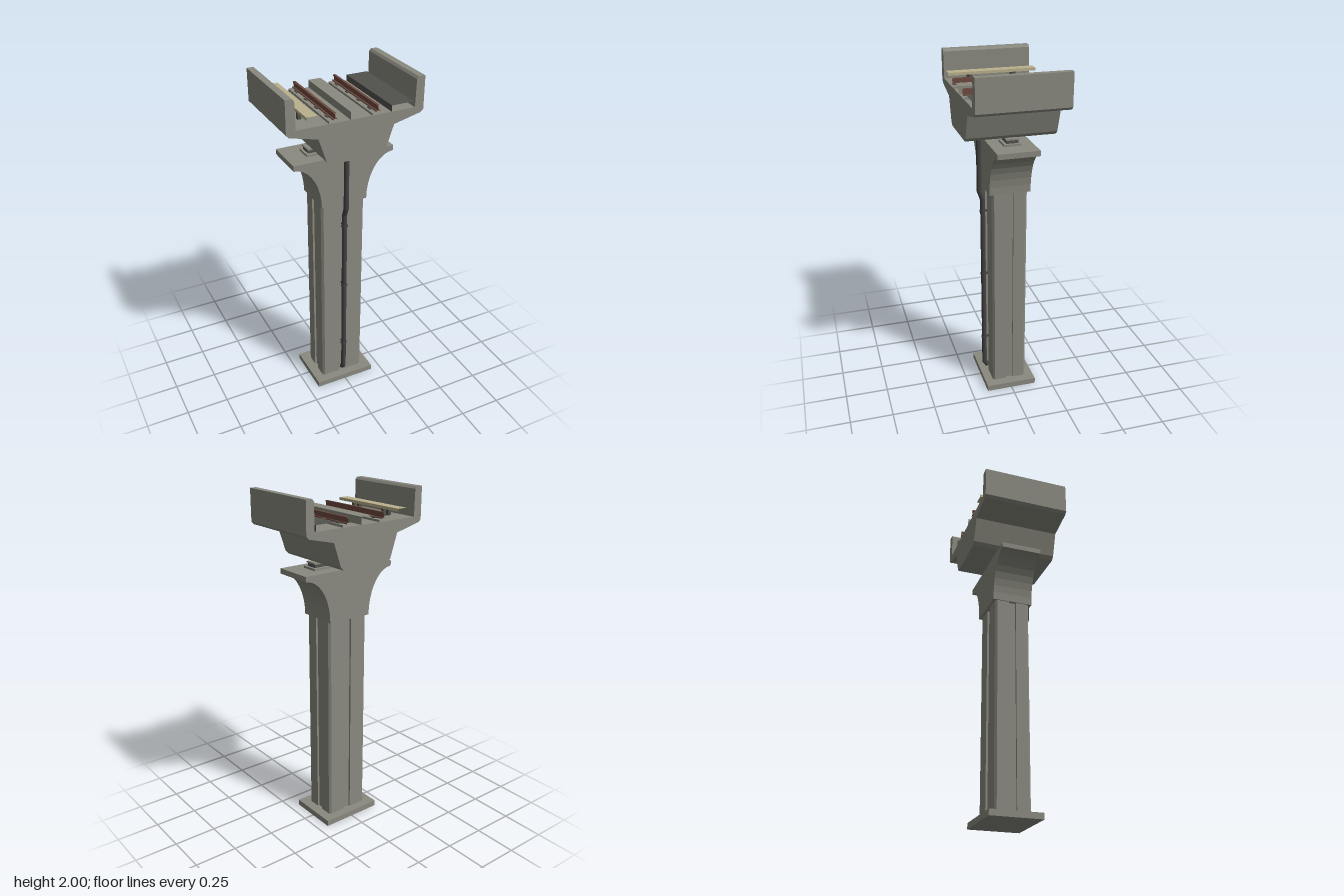
import * as THREE from 'three';

const mat = (name, color) => {
  const m = new THREE.MeshStandardMaterial({ color });
  m.name = name;
  return m;
};

export function createModel() {
  const concrete = mat('concrete', 0x8a8a80);
  const darkGrey = mat('dark grey', 0x51514d);
  const pipeGrey = mat('pipe grey', 0x424242);
  const cream = mat('cream cover', 0xb9b08c);
  const rust = mat('rail brown', 0x6e4a3e);
  const root = new THREE.Group();
  root.name = 'viaductSegment';
  const LEN = 0.51;

  const add = (name, geometry, material, x = 0, y = 0, z = 0) => {
    const mesh = new THREE.Mesh(geometry, material);
    mesh.name = name;
    mesh.position.set(x, y, z);
    root.add(mesh);
    return mesh;
  };
  const box = (name, material, w, y0, y1, d, x = 0, z = 0) =>
    add(name, new THREE.BoxGeometry(w, y1 - y0, d), material, x, (y0 + y1) / 2, z);
  // Strip running the full length with open ends, so segments can be chained
  const strip = (name, material, x0, x1, y0, y1) => {
    const g = new THREE.BoxGeometry(x1 - x0, y1 - y0, LEN);
    g.setIndex(Array.from(g.index.array.slice(0, 24)));
    g.clearGroups();
    return add(name, g, material, (x0 + x1) / 2, (y0 + y1) / 2, 0);
  };
  // Extrude a right-hand half profile mirrored about x = 0, centred on z
  const mirroredExtrude = (half, depth) => {
    const pts = [...half, ...half.map(([x, y]) => [-x, y]).reverse()];
    const shape = new THREE.Shape(pts.map(([x, y]) => new THREE.Vector2(x, y)));
    return new THREE.ExtrudeGeometry(shape, { depth, bevelEnabled: false })
      .translate(0, 0, -depth / 2);
  };

  // Footing
  box('footing', concrete, 0.376, 0, 0.035, 0.304);

  // Column with chamfered corners and a groove in each face
  const X = 0.133, Z = 0.103, c = 0.012, g = 0.022, d = 0.012;
  const column = mirroredExtrude([
    [g, -Z + d], [g, -Z], [X - c, -Z], [X, -Z + c],
    [X, -g], [X - d, -g], [X - d, g], [X, g],
    [X, Z - c], [X - c, Z], [g, Z], [g, Z - d],
  ], 1.245);
  column.rotateX(-Math.PI / 2);
  add('column', column, concrete, 0, 0.035 + 1.245 / 2, 0);

  // Flared column head
  const flare = [];
  for (let i = 0; i <= 9; i++) {
    const a = (i / 9) * Math.PI / 2;
    flare.push([0.138 + 0.162 * (1 - Math.cos(a)), 1.28 + 0.262 * Math.sin(a)]);
  }
  add('columnHead', mirroredExtrude([...flare, [0.3, 1.572]], 0.238), concrete);

  // Bearings
  for (const s of [-1, 1]) {
    box('bearingPlinth', concrete, 0.115, 1.572, 1.584, 0.1, s * 0.133);
    box('bearingPad', darkGrey, 0.085, 1.584, 1.602, 0.066, s * 0.133);
    box('bearingTopPlate', concrete, 0.095, 1.602, 1.611, 0.074, s * 0.133);
  }

  // Trough girder with side walls
  add('girder', mirroredExtrude([
    [0.153, 1.61], [0.172, 1.63], [0.217, 1.765], [0.375, 1.803], [0.39, 1.818],
    [0.39, 2], [0.352, 2], [0.341, 1.987], [0.338, 1.836],
  ], LEN), concrete);

  // Track slabs, centre kerb and walkway
  strip('centreKerb', concrete, -0.037, 0.037, 1.836, 1.878);
  strip('walkway', darkGrey, 0.2, 0.33, 1.836, 1.87);
  for (const s of [-1, 1]) {
    const x = s * 0.122;
    strip('trackSlab', concrete, x - 0.036, x + 0.036, 1.836, 1.848);
    strip('railFoot', rust, x - 0.0125, x + 0.0125, 1.85, 1.856);
    strip('railWeb', rust, x - 0.003, x + 0.003, 1.856, 1.876);
    strip('railHead', rust, x - 0.007, x + 0.007, 1.876, 1.885);
    for (const z of [-0.19, -0.064, 0.064, 0.19]) {
      box('railFastener', darkGrey, 0.046, 1.848, 1.853, 0.03, x, z);
    }
  }

  // Power rail cover on paired posts
  strip('powerRailCover', cream, -0.28, -0.22, 1.876, 1.892);
  for (const z of [-0.127, 0.127]) {
    for (const x of [-0.265, -0.228]) {
      box('coverPost', darkGrey, 0.019, 1.836, 1.876, 0.02, x, z);
    }
  }

  // Drain pipe with clamps
  const path = new THREE.CurvePath();
  const pts = [[1.612, 0.143], [1.26, 0.143], [1.205, 0.124], [0.095, 0.124], [0.066, 0.106]]
    .map(([y, z]) => new THREE.Vector3(0, y, z));
  for (let i = 1; i < pts.length; i++) {
    const a = pts[i - 1], b = pts[i];
    const run = new THREE.CylinderGeometry(0.0145, 0.0145, a.distanceTo(b), 12);
    const mesh = add('drainPipe', run, pipeGrey);
    mesh.position.copy(a).add(b).multiplyScalar(0.5);
    mesh.quaternion.setFromUnitVectors(new THREE.Vector3(0, 1, 0), a.clone().sub(b).normalize());
    if (i < pts.length - 1) {
      add('pipeElbow', new THREE.SphereGeometry(0.0145, 12, 8), pipeGrey, b.x, b.y, b.z);
    }
  }
  for (const y of [0.28, 0.725, 1.135]) {
    add('pipeClamp', new THREE.CylinderGeometry(0.019, 0.019, 0.01, 12), pipeGrey, 0, y, 0.124);
    box('clampBracket', pipeGrey, 0.012, y - 0.005, y + 0.005, 0.03, 0, 0.105);
  }

  return root;
}
